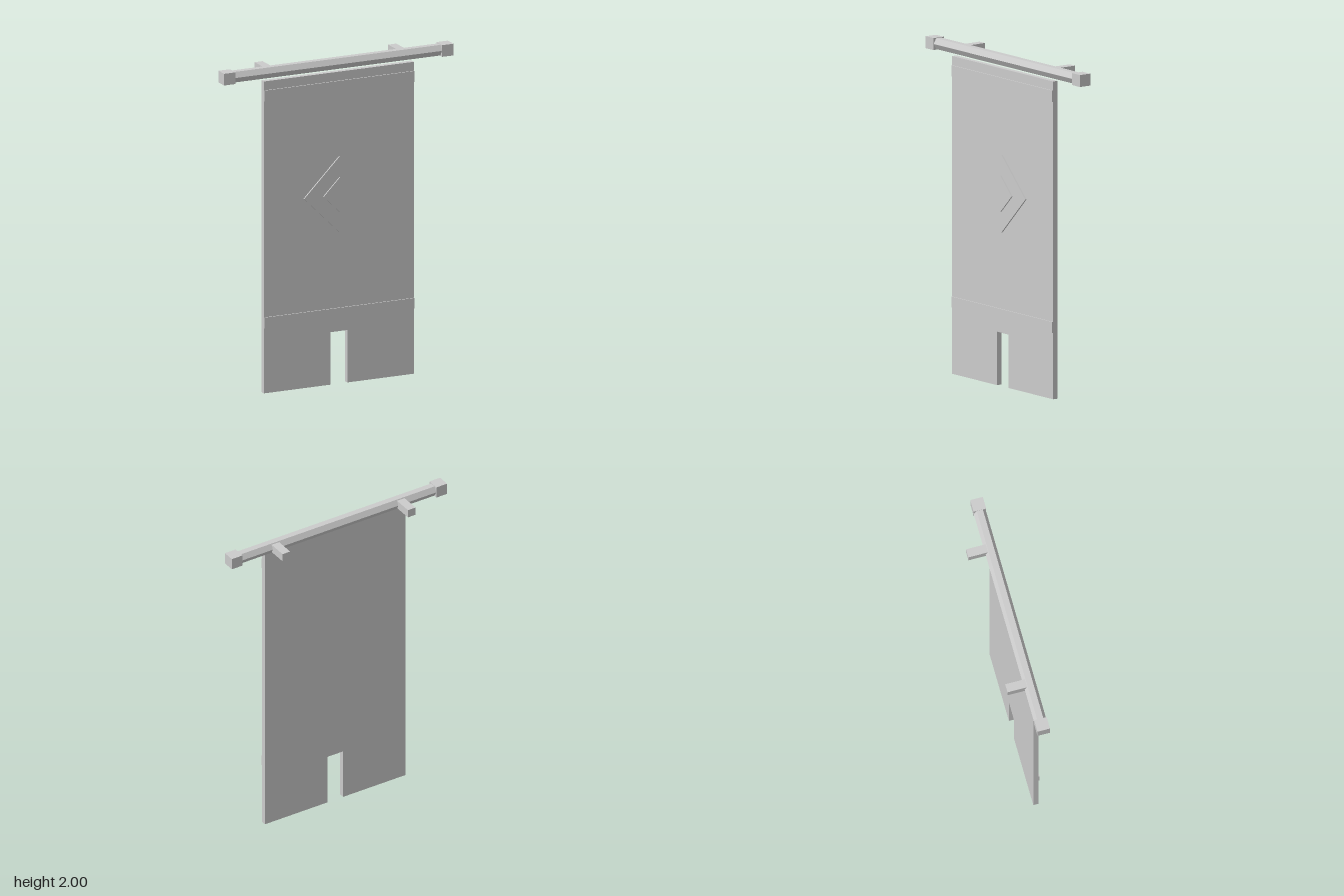
import * as THREE from 'three';

const material = new THREE.MeshStandardMaterial({ color: 0xcccccc, flatShading: true });

export function createModel() {
  const model = new THREE.Group();
  model.name = 'hangingBanner';

  const add = (name, geometry, x, y, z) => {
    const mesh = new THREE.Mesh(geometry, material);
    mesh.name = name;
    mesh.position.set(x, y, z);
    model.add(mesh);
    return mesh;
  };
  // Box given by its lower and upper limits on each axis
  const box = (name, [x0, x1], [y0, y1], [z0, z1]) =>
    add(name, new THREE.BoxGeometry(x1 - x0, y1 - y0, z1 - z0),
      (x0 + x1) / 2, (y0 + y1) / 2, (z0 + z1) / 2);

  // Cloth panel with a slot cut into the lower edge
  const w = 0.496, slot = 0.055, slotTop = 0.323, top = 1.921;
  const outline = new THREE.Shape([
    [-w, 0], [-slot, 0], [-slot, slotTop], [slot, slotTop],
    [slot, 0], [w, 0], [w, top], [-w, top],
  ].map(([x, y]) => new THREE.Vector2(x, y)));
  const front = 0.083, back = 0.051;
  add('clothPanel',
    new THREE.ExtrudeGeometry(outline, { depth: front - back, bevelEnabled: false }), 0, 0, back);

  // Raised bands across the front
  box('upperBand', [-w, w], [1.799, 1.866], [front - 0.005, 0.09]);
  box('lowerBand', [-w, w], [0.402, 0.468], [front - 0.005, 0.09]);

  // Stepped diamond ornament: squares turned by 45 degrees
  const diamond = (name, halfDiagonal, z0, z1) => {
    const side = halfDiagonal * Math.SQRT2;
    const mesh = add(name, new THREE.BoxGeometry(side, side, z1 - z0), 0, 1.167, (z0 + z1) / 2);
    mesh.rotation.z = Math.PI / 4;
  };
  diamond('outerDiamond', 0.234, front - 0.005, 0.092);
  diamond('innerDiamond', 0.109, front, 0.1);

  // Hexagonal rod, flat on top and bottom
  const rod = new THREE.CylinderGeometry(0.0375, 0.0375, 1.4, 6);
  rod.rotateZ(Math.PI / 2);
  add('rod', rod, 0, 1.9645, 0.043);

  // Rod end blocks and wall brackets, mirrored
  for (const [side, s] of [['left', 1], ['right', -1]]) {
    const span = (a, b) => (s > 0 ? [a, b] : [-b, -a]);
    box(`${side}EndBlock`, span(0.682, 0.758), [1.928, 2], [0.005, 0.082]);
    box(`${side}Bracket`, span(0.415, 0.468), [1.94, 1.991], [-0.1, 0.022]);
  }
  return model;
}
